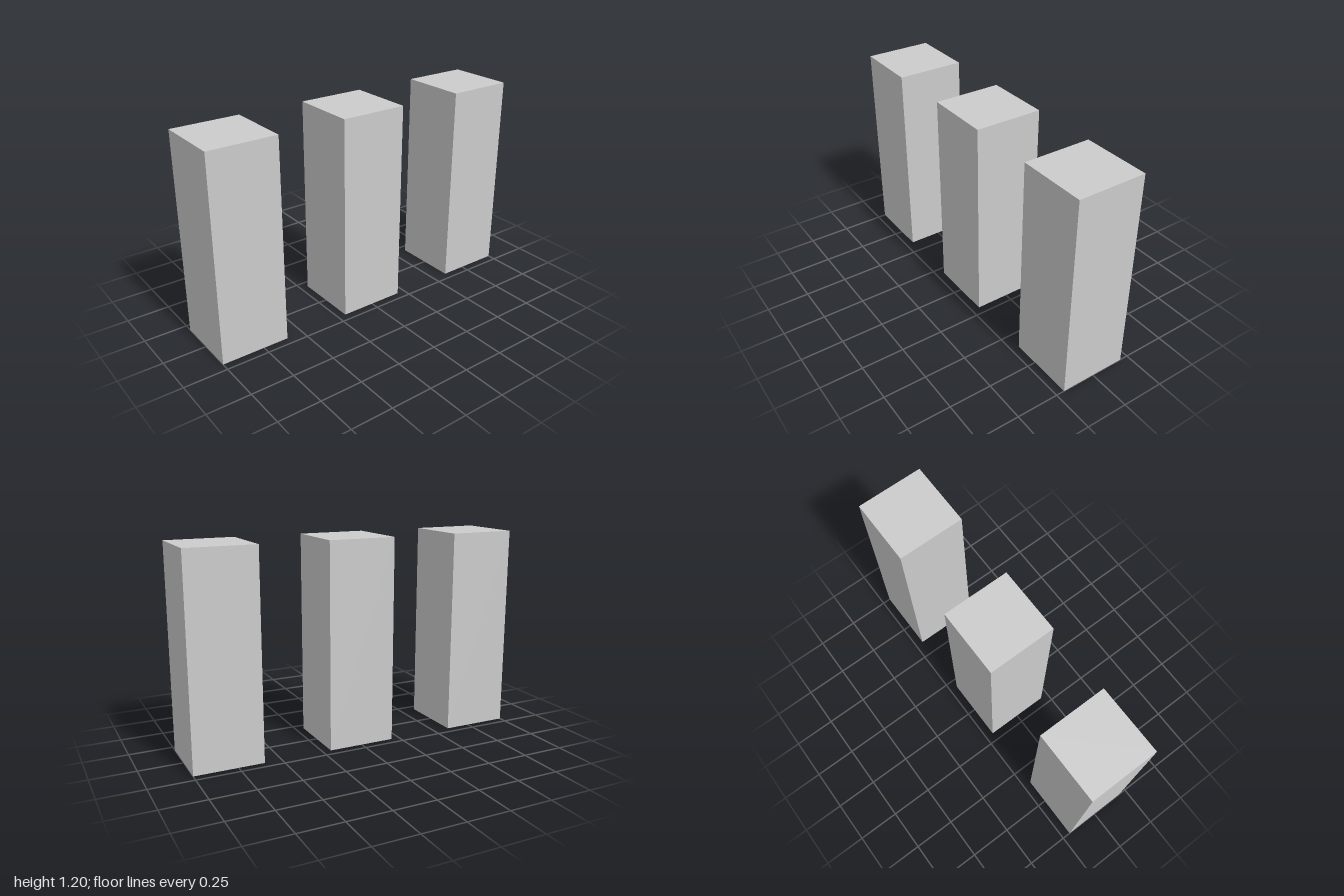
import * as THREE from 'three';

export function createModel() {
  const group = new THREE.Group();
  const material = new THREE.MeshStandardMaterial({ color: 0xcccccc });

  // Three identical square pillars in a row, standing on the ground
  const width = 0.4, height = 1.2, spacing = 0.8;
  const geometry = new THREE.BoxGeometry(width, height, width);
  ['rightPillar', 'middlePillar', 'leftPillar'].forEach((name, i) => {
    const pillar = new THREE.Mesh(geometry, material);
    pillar.name = name;
    pillar.position.set((i - 1) * spacing, height / 2, 0);
    group.add(pillar);
  });

  return group;
}
